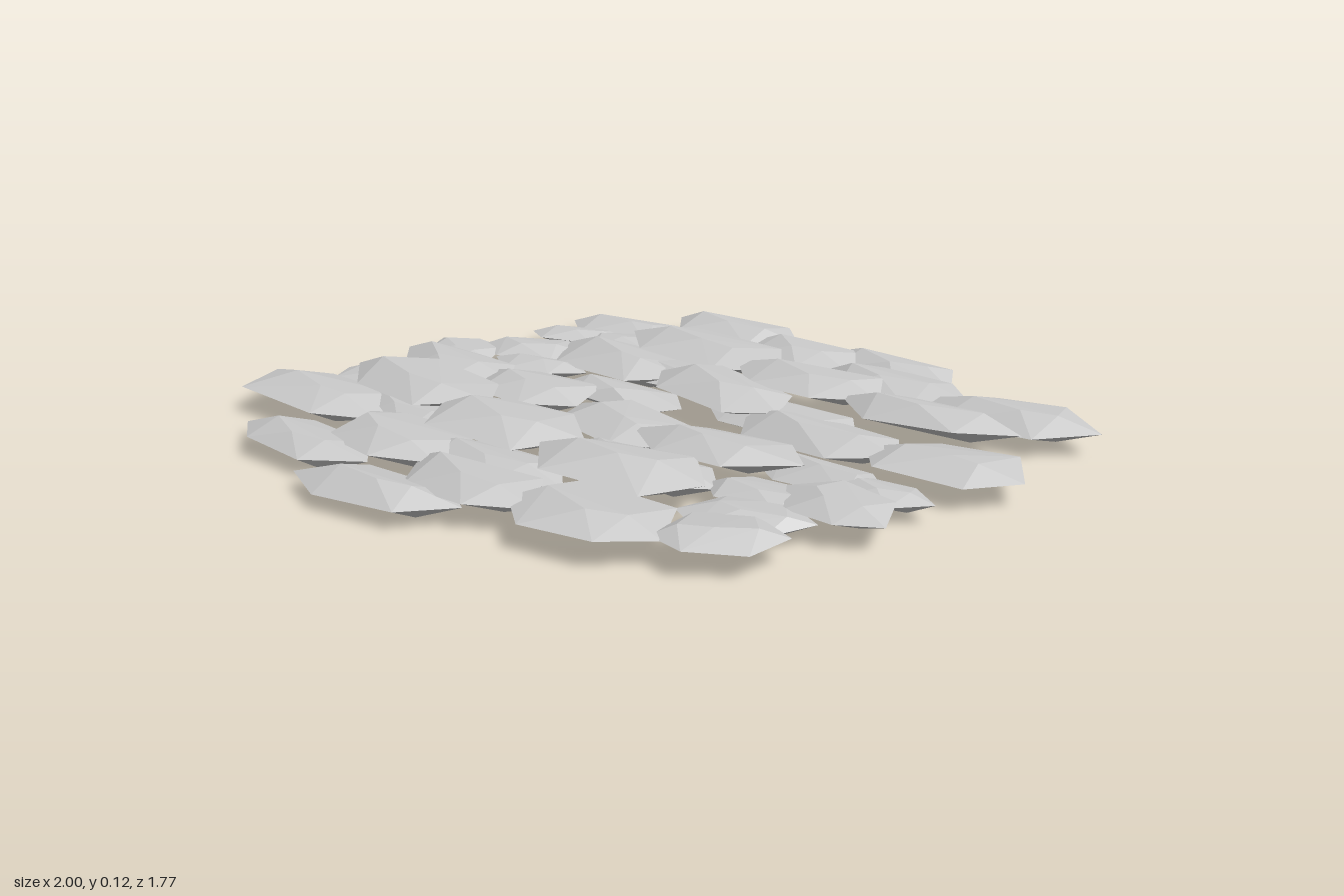
import * as THREE from 'three';
import { ConvexGeometry } from 'three/addons/geometries/ConvexGeometry.js';

// Each stone: centre x, centre z, half length, half width, turn in degrees
const upper = [
  [-0.12, -0.46, 0.28, 0.14, 13], [0.25, -0.32, 0.24, 0.13, 8],
  [0.63, -0.22, 0.24, 0.11, 3], [0.11, -0.15, 0.24, 0.13, 20],
  [-0.56, 0.2, 0.27, 0.14, 14], [-0.17, 0.36, 0.23, 0.14, 5],
  [0.21, 0.46, 0.23, 0.13, 3], [0.33, 0.25, 0.23, 0.12, 7],
];
const middle = [
  [0.03, 0.16, 0.22, 0.13, 20], [-0.35, 0.53, 0.22, 0.13, 20],
  [-0.3, -0.31, 0.26, 0.14, 15], [-0.02, 0.67, 0.22, 0.12, 10],
  [0.3, 0.69, 0.2, 0.14, 0], [0.7, 0.37, 0.15, 0.11, 18],
  [0.57, 0.64, 0.14, 0.12, -30], [-0.21, -0.76, 0.22, 0.13, 8],
  [0.42, -0.48, 0.23, 0.13, 8], [0.77, -0.4, 0.23, 0.14, 1],
  [0.45, -0.02, 0.23, 0.12, 10], [0.77, 0.01, 0.2, 0.14, 3],
  [-0.75, 0.36, 0.27, 0.14, 15], [-0.34, 0.03, 0.2, 0.13, 14],
  [-0.65, -0.05, 0.22, 0.12, 12], [0.09, -0.64, 0.2, 0.13, 20],
];
const lower = [
  [0.32, -0.68, 0.23, 0.11, 15], [-0.52, -0.66, 0.19, 0.1, -4],
  [-0.6, -0.52, 0.14, 0.08, -15], [-0.43, -0.53, 0.13, 0.09, -20],
  [-0.61, -0.33, 0.16, 0.11, -10], [-0.77, -0.21, 0.14, 0.1, 15],
  [-0.49, -0.2, 0.15, 0.08, -8], [-0.15, -0.08, 0.2, 0.09, 5],
  [-0.78, 0.12, 0.13, 0.09, 10], [-0.56, 0.62, 0.23, 0.1, 12],
  [-0.2, 0.78, 0.23, 0.1, 0], [0.55, 0.18, 0.18, 0.09, 5],
  [0.71, 0.23, 0.14, 0.08, 0], [0.55, 0.5, 0.15, 0.1, -15],
  [0.51, 0.37, 0.14, 0.08, 5], [0.18, 0.35, 0.24, 0.11, 8],
  [-0.1, 0.52, 0.24, 0.1, 10], [0.3, -0.12, 0.24, 0.12, 10],
  [0.58, -0.33, 0.24, 0.11, 5], [-0.1, -0.3, 0.24, 0.12, 10],
  [-0.1, -0.58, 0.24, 0.11, 12], [-0.5, 0.32, 0.24, 0.12, 12],
];

// Seeded random number from -1 to 1
let seed = 7;
function vary(amount) {
  seed = (seed * 16807) % 2147483647;
  return (seed / 2147483647 * 2 - 1) * amount;
}

// Pointed stone: two tips, four shoulders, and small crowns above and below
function stoneGeometry(halfLength, halfWidth) {
  const h = Math.min(0.04, halfLength * 0.17);
  const points = [];
  const add = (u, y, v) => points.push(new THREE.Vector3(u * halfLength, y * h, v * halfWidth));
  add(1, vary(0.15), 0.1 + vary(0.25));
  add(-1, vary(0.15), -0.1 + vary(0.25));
  for (const u of [-1, 1]) {
    for (const v of [-1, 1]) add(u * 0.5 + vary(0.14), vary(0.25), v * (0.94 + vary(0.06)));
  }
  for (const y of [1, -1]) {
    add(0.52 + vary(0.1), y * 0.88, 0.2 + vary(0.15));
    add(-0.5 + vary(0.1), y * 0.92, -0.05 + vary(0.2));
    add(0.05 + vary(0.15), y, 0.4 * y + vary(0.15));
  }
  return new ConvexGeometry(points);
}

export function createModel() {
  const model = new THREE.Group();
  model.name = 'stoneBed';
  const material = new THREE.MeshStandardMaterial({ color: 0xcccccc, flatShading: true });

  // Three overlapping layers of stones
  const addLayer = (name, height, stones) => {
    const layer = new THREE.Group();
    layer.name = name;
    for (const [x, z, halfLength, halfWidth, turn] of stones) {
      const stone = new THREE.Mesh(stoneGeometry(halfLength, halfWidth), material);
      stone.name = 'stone';
      stone.position.set(x, height, z);
      stone.rotation.y = -THREE.MathUtils.degToRad(turn);
      layer.add(stone);
    }
    model.add(layer);
  };
  addLayer('lowerStones', 0.04, lower);
  addLayer('middleStones', 0.057, middle);
  addLayer('upperStones', 0.08, upper);
  return model;
}
